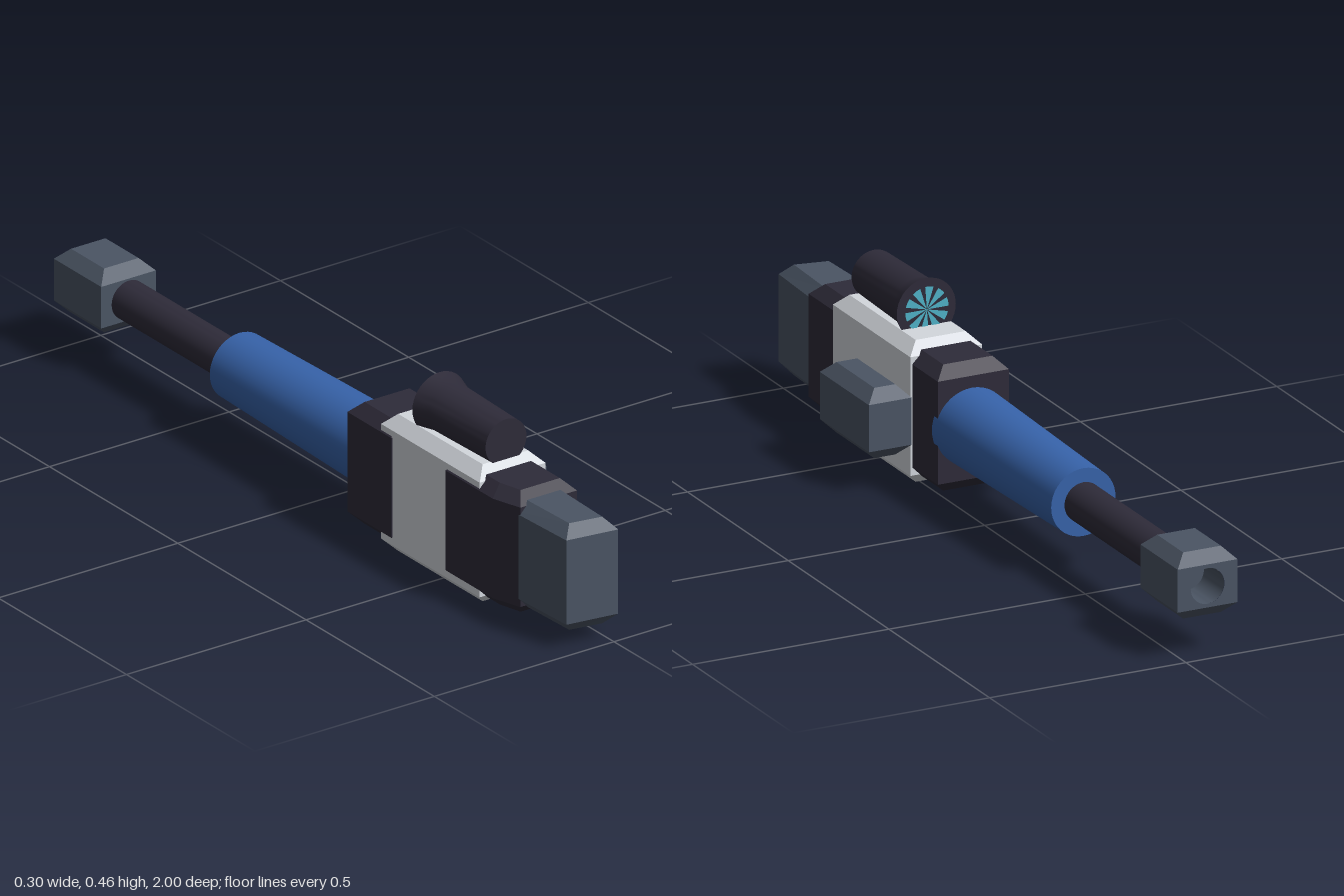
import * as THREE from 'three';
import { mergeGeometries, toCreasedNormals } from 'three/addons/utils/BufferGeometryUtils.js';

const AXIS_X = -0.054, AXIS_Y = 0.175;

function paint(name, color) {
  const m = new THREE.MeshStandardMaterial({ color });
  m.name = name;
  return m;
}

// Footprint of a plain rectangle: front left, front right, back right, back left
const rect = (x0, x1, z0, z1) => [[x0, z1], [x1, z1], [x1, z0], [x0, z0]];

// Upright prism whose top and bottom edges are bevelled by c; skipSide leaves one wall open
function bevelledPrism(foot, y0, y1, c, skipSide = -1) {
  const xs = foot.map(p => p[0]), zs = foot.map(p => p[1]);
  const cx = (Math.min(...xs) + Math.max(...xs)) / 2, hx = Math.max(...xs) - cx;
  const cz = (Math.min(...zs) + Math.max(...zs)) / 2, hz = Math.max(...zs) - cz;
  const ring = (y, inset) => foot.map(([x, z]) =>
    [cx + (x - cx) * (1 - inset / hx), y, cz + (z - cz) * (1 - inset / hz)]);
  const rings = [ring(y0, c), ring(y0 + c, 0), ring(y1 - c, 0), ring(y1, c)];
  const n = foot.length, pos = [];
  const tri = (a, b, d) => pos.push(...a, ...b, ...d);
  for (let k = 0; k < 3; k++) {
    for (let i = 0; i < n; i++) {
      if (k === 1 && i === skipSide) continue;
      const j = (i + 1) % n, lo = rings[k], hi = rings[k + 1];
      tri(lo[i], lo[j], hi[j]);
      tri(lo[i], hi[j], hi[i]);
    }
  }
  for (let i = 1; i < n - 1; i++) {
    tri(rings[3][0], rings[3][i], rings[3][i + 1]);
    tri(rings[0][0], rings[0][i + 1], rings[0][i]);
  }
  const g = new THREE.BufferGeometry();
  g.setAttribute('position', new THREE.Float32BufferAttribute(pos, 3));
  g.computeVertexNormals();
  return g;
}

// Round part turned about the z direction from [radius, z] pairs
function turned(profile, y = AXIS_Y) {
  const g = new THREE.LatheGeometry(profile.map(([r, z]) => new THREE.Vector2(r, z)), 40);
  g.rotateX(Math.PI / 2).translate(AXIS_X, y, 0);
  return toCreasedNormals(g, 0.5);
}

export function createModel() {
  const dark = paint('charcoal', 0x2e2b39);
  const grey = paint('slate grey', 0x4b5564);
  const white = paint('light grey', 0xd4d8de);
  const blue = paint('blue', 0x3763aa);
  const teal = paint('lens teal', 0x4fb3c8);

  const model = new THREE.Group();
  const add = (name, geometry, material) => {
    const mesh = new THREE.Mesh(geometry, material);
    mesh.name = name;
    model.add(mesh);
  };

  // Receiver and the blocks at its ends
  add('receiver', bevelledPrism(rect(-0.145, 0.038, 0.295, 0.68), 0, 0.343, 0.028), white);
  const frontFoot = [[-0.125, 0.81], [0.033, 0.81], [0.033, 0.55], [-0.148, 0.55], [-0.148, 0.735]];
  add('stockBlock', bevelledPrism(frontFoot, 0.02, 0.325, 0.028), dark);
  add('barrelBlock', bevelledPrism(rect(-0.148, 0.033, 0.168, 0.34), 0.02, 0.325, 0.028), dark);

  // Tapered stock with a slanted end
  const stockFoot = [[-0.118, 0.98], [0.012, 1], [0.021, 0.77], [-0.128, 0.77]];
  add('stock', bevelledPrism(stockFoot, 0.039, 0.306, 0.028), grey);

  // Side box
  add('sideBox', bevelledPrism(rect(0.038, 0.147, 0.288, 0.532), 0.078, 0.248, 0.028), grey);

  // Handguard and barrel
  add('handguard', turned([[0, -0.385], [0.082, -0.385], [0.0935, 0.185], [0, 0.185]]), blue);
  add('barrel', turned([[0, -0.85], [0.048, -0.85], [0.048, -0.35], [0, -0.35]]), dark);

  // Muzzle block, its drilled end face and the bore
  const x0 = -0.131, x1 = 0.021, y0 = 0.096, y1 = 0.256, c = 0.028;
  add('muzzle', bevelledPrism(rect(x0, x1, -1, -0.815), y0, y1, c, 2), grey);
  const hw = (x1 - x0) / 2, hh = (y1 - y0) / 2 - c;
  const face = new THREE.Shape([[-hw, -hh], [hw, -hh], [hw, hh], [-hw, hh]]
    .map(p => new THREE.Vector2(...p)));
  face.holes.push(new THREE.Path().absarc(0, 0, 0.043, 0, Math.PI * 2, true));
  const faceGeometry = new THREE.ShapeGeometry(face, 20);
  faceGeometry.rotateY(Math.PI).translate((x0 + x1) / 2, (y0 + y1) / 2, -1);
  add('muzzleFace', faceGeometry, grey);
  add('muzzleBore', turned([[0, -0.9], [0.043, -0.9], [0.043, -1]], 0.176), grey);

  // Scope with a flared rear and a segmented lens
  const scopeY = 0.383;
  add('scope', turned([[0, 0.395], [0.075, 0.395], [0.062, 0.44], [0.057, 0.655], [0, 0.655]], scopeY), dark);
  const wedges = [];
  for (let i = 0; i < 10; i++) {
    wedges.push(new THREE.CircleGeometry(0.055, 3, i * Math.PI / 5, Math.PI / 8));
  }
  const lens = mergeGeometries(wedges);
  lens.rotateY(Math.PI).translate(AXIS_X, scopeY, 0.392);
  add('scopeLens', lens, teal);

  return model;
}
